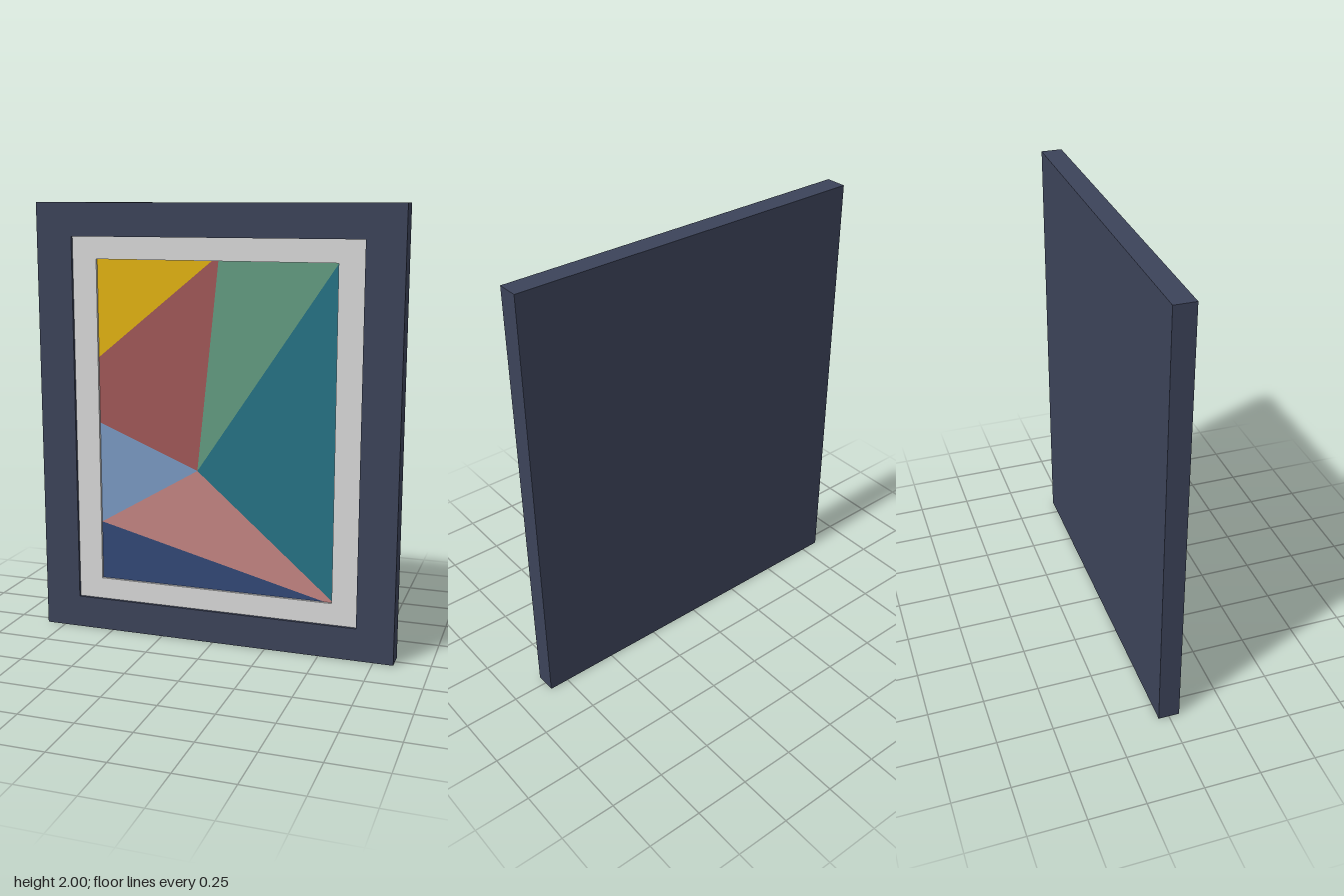
import * as THREE from 'three';

const mat = (name, color) => {
  const m = new THREE.MeshStandardMaterial({ color });
  m.name = name;
  return m;
};

// Rectangular border with a rectangular opening, extruded from z0 to z1
function border(name, outer, inner, z0, z1, material) {
  const rect = (path, [w, h]) => {
    path.moveTo(-w, 1 - h);
    path.lineTo(w, 1 - h);
    path.lineTo(w, 1 + h);
    path.lineTo(-w, 1 + h);
    path.closePath();
    return path;
  };
  const shape = rect(new THREE.Shape(), outer);
  shape.holes.push(rect(new THREE.Path(), inner));
  const geo = new THREE.ExtrudeGeometry(shape, { depth: z1 - z0, bevelEnabled: false });
  geo.translate(0, 0, z0);
  const mesh = new THREE.Mesh(geo, material);
  mesh.name = name;
  return mesh;
}

export function createModel() {
  const group = new THREE.Group();
  group.name = 'framedPicture';
  const slate = mat('slate frame', 0x3c4359);
  const Z = 0.0475;

  // Frame, its solid back and the recessed mount
  group.add(border('frame', [0.84, 1], [0.67, 0.85], -Z + 0.03, Z, slate));
  const back = new THREE.Mesh(new THREE.BoxGeometry(1.68, 2, 0.03), slate);
  back.name = 'backBoard';
  back.position.set(0, 1, -Z + 0.015);
  group.add(back);
  group.add(border('mount', [0.67, 0.85], [0.555, 0.75], -Z + 0.03, 0.034, mat('pale grey mount', 0xd8d8d8)));

  // Picture: flat coloured panels meeting at one point
  const L = -0.555, R = 0.555, B = 0.25, T = 1.75;
  const C = [-0.08, 0.805];
  const panels = [
    ['yellowPanel', 0xe2b212, [[L, 1.305], [-0.01, T], [L, T]]],
    ['maroonPanel', 0xa05858, [[L, 1.0], C, [0.02, T], [-0.01, T], [L, 1.305]]],
    ['greenPanel', 0x639b81, [C, [R, T], [0.02, T]]],
    ['tealPanel', 0x267284, [C, [R, 0.255], [R, T]]],
    ['lightBluePanel', 0x7a99c2, [[L, 0.525], C, [L, 1.0]]],
    ['rosePanel', 0xc48482, [[L, 0.525], [0.52, B], [R, B], [R, 0.255], C]],
    ['navyPanel', 0x324876, [[L, B], [0.52, B], [L, 0.525]]],
  ];
  for (const [name, color, pts] of panels) {
    const shape = new THREE.Shape(pts.map(([x, y]) => new THREE.Vector2(x, y)));
    const mesh = new THREE.Mesh(new THREE.ShapeGeometry(shape), mat(name, color));
    mesh.name = name;
    mesh.position.z = 0.022;
    group.add(mesh);
  }
  return group;
}
